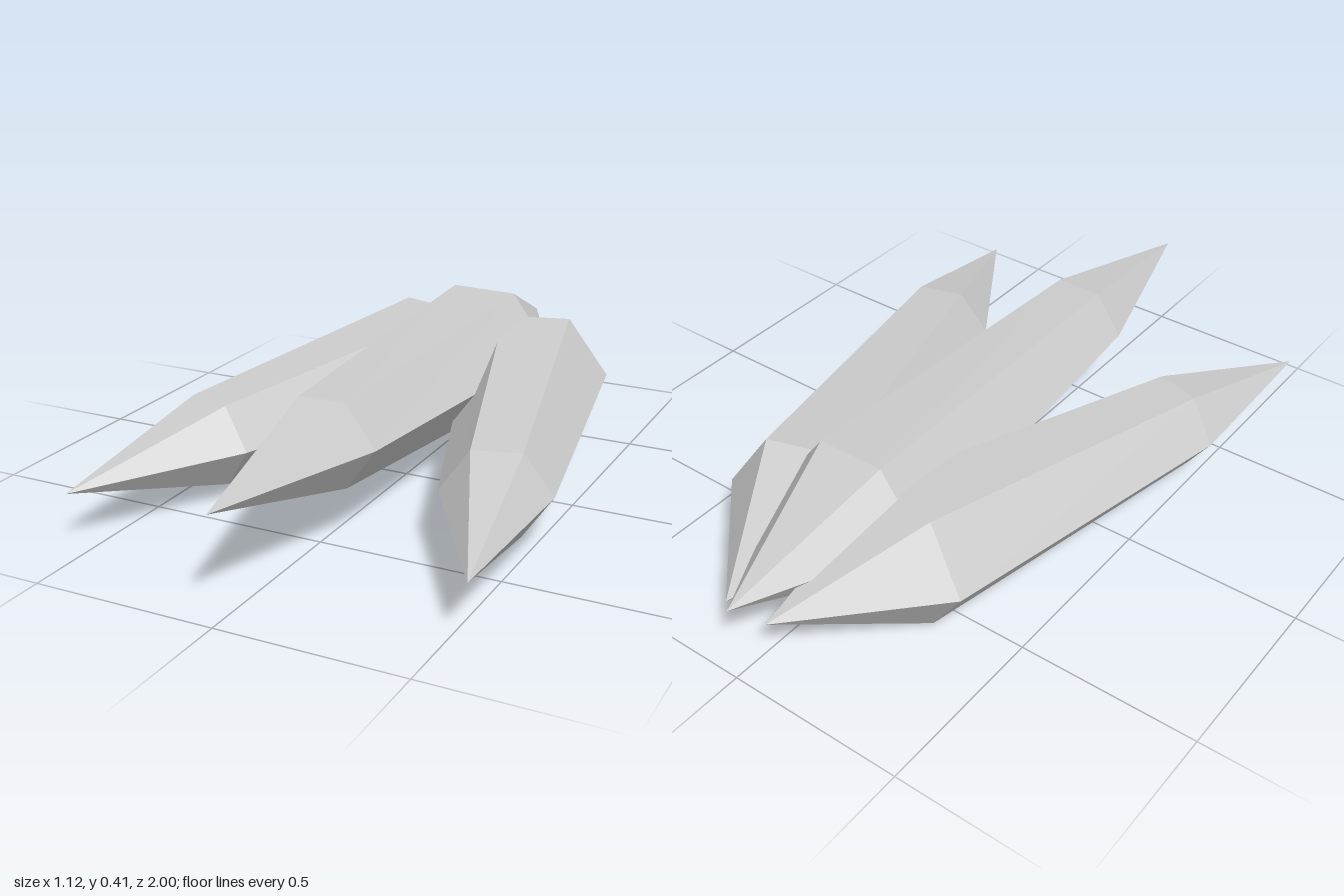
import * as THREE from 'three';

const grey = new THREE.MeshStandardMaterial({ color: 0xcccccc, flatShading: true });
grey.name = 'pale grey';

// Six-sided spindle: front tip, front ring, back ring, back tip.
// Rings run counter-clockwise seen from the front.
function spindle(name, frontTip, frontRing, backRing, backTip) {
  const corners = [];
  for (let i = 0; i < 6; i++) {
    const j = (i + 1) % 6;
    const [f, g, b, c] = [frontRing[i], frontRing[j], backRing[i], backRing[j]];
    corners.push(frontTip, f, g, f, b, c, f, c, g, backTip, c, b);
  }
  const geometry = new THREE.BufferGeometry();
  geometry.setAttribute('position', new THREE.Float32BufferAttribute(corners.flat(), 3));
  geometry.computeVertexNormals();
  const mesh = new THREE.Mesh(geometry, grey);
  mesh.name = name;
  return mesh;
}

// Hexagonal ring around a centre; slope tilts it so z falls as x grows
function ring(x, y, z, width, cornerWidth, height, slope = 0) {
  const offsets = [
    [width, 0], [cornerWidth, height], [-cornerWidth, height],
    [-width, 0], [-cornerWidth, -height], [cornerWidth, -height],
  ];
  return offsets.map(([dx, dy]) => [x + dx, y + dy, z - slope * dx]);
}

const mirror = ([x, y, z]) => [-x, y, z];
const mirrorRing = (points) => points.map(mirror).reverse();

export function createModel() {
  const model = new THREE.Group();
  model.name = 'threeSpindles';

  // Raised middle spindle
  const middleBack = ring(0, 0.241, -0.547, 0.22, 0.1, 0.171);
  middleBack[1] = [0.095, 0.408, -0.547];
  model.add(spindle('middleSpindle', [0, 0.284, 1],
    ring(0, 0.269, 0.475, 0.147, 0.066, 0.114), middleBack, [0, 0.23, -1]));

  // Lower outer spindles, splayed towards the front
  const front = [0.547, 0.155, 0.815];
  const frontRing = ring(0.42, 0.16, 0.353, 0.14, 0.063, 0.113, 0.3);
  const backRing = ring(0.175, 0.174, -0.54, 0.21, 0.095, 0.171, 0.29);
  const back = [0.065, 0.18, -0.945];
  model.add(spindle('leftSpindle', front, frontRing, backRing, back));
  model.add(spindle('rightSpindle', mirror(front), mirrorRing(frontRing),
    mirrorRing(backRing), mirror(back)));

  return model;
}
